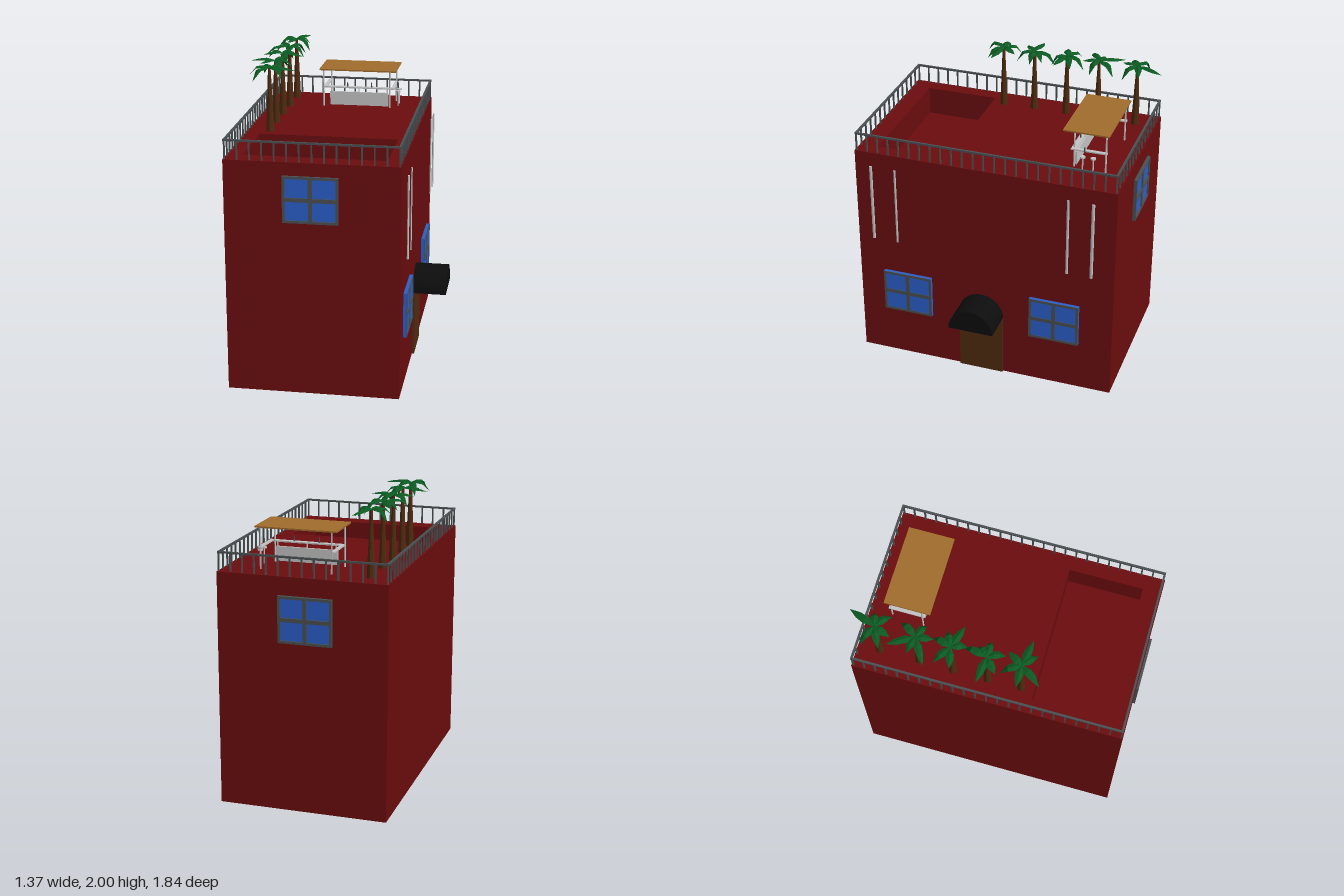
import * as THREE from 'three';

const mat = (name, color, side = THREE.FrontSide) => {
  const m = new THREE.MeshStandardMaterial({ color, side, flatShading: true });
  m.name = name;
  return m;
};

export function createModel() {
  const red = mat('wall red', 0x6b0c0e);
  const grey = mat('frame grey', 0x4a5052);
  const blue = mat('glass blue', 0x2b5fcb);
  const brown = mat('wood brown', 0x4f2b10);
  const black = mat('awning black', 0x0d0d0d);
  const tan = mat('roof tan', 0xa06c2c);
  const pale = mat('bar pale grey', 0xc4c4c4);
  const green = mat('leaf green', 0x0c5a22, THREE.DoubleSide);

  const root = new THREE.Group();
  root.name = 'house';
  const group = (name, parent = root) => {
    const g = new THREE.Group();
    g.name = name;
    parent.add(g);
    return g;
  };
  const add = (name, geo, m, x, y, z, parent = root) => {
    const mesh = new THREE.Mesh(geo, m);
    mesh.name = name;
    mesh.position.set(x, y, z);
    parent.add(mesh);
    return mesh;
  };
  // Box given by its limits on each axis
  const box = (name, m, x0, x1, y0, y1, z0, z1, parent = root) =>
    add(name, new THREE.BoxGeometry(x1 - x0, y1 - y0, z1 - z0), m,
      (x0 + x1) / 2, (y0 + y1) / 2, (z0 + z1) / 2, parent);
  const rect = (S, x0, x1, y0, y1) => new S([
    new THREE.Vector2(x0, y0), new THREE.Vector2(x1, y0),
    new THREE.Vector2(x1, y1), new THREE.Vector2(x0, y1)]);

  // Body: lower block plus a roof slab with the sunken pool cut out
  const roofY = 1.555, poolY = 1.36;
  box('body', red, -0.66, 0.46, 0, poolY, -0.885, 0.905);
  const slab = rect(THREE.Shape, -0.66, 0.46, -0.905, 0.885);
  slab.holes.push(rect(THREE.Path, -0.56, 0.36, -0.78, -0.285));
  const slabGeo = new THREE.ExtrudeGeometry(slab, { depth: roofY - poolY, bevelEnabled: false });
  slabGeo.rotateX(-Math.PI / 2);
  add('roofWithPool', slabGeo, red, 0, poolY, 0);

  // Windows: four panes behind a crossed frame, facing local +z
  const makeWindow = (name, w, h, paneDepth, frameDepth, boxed) => {
    const g = group(name);
    const shape = rect(THREE.Shape, -w / 2, w / 2, -h / 2, h / 2);
    const b = 0.017, c = 0.013;
    for (const sx of [-1, 1]) for (const sy of [-1, 1]) {
      const xs = [sx * c, sx * (w / 2 - b)].sort((p, q) => p - q);
      const ys = [sy * c, sy * (h / 2 - b)].sort((p, q) => p - q);
      shape.holes.push(rect(THREE.Path, xs[0], xs[1], ys[0], ys[1]));
    }
    const frame = new THREE.ExtrudeGeometry(shape, { depth: frameDepth, bevelEnabled: false });
    add('windowFrame', frame, grey, 0, 0, boxed ? paneDepth : 0, g);
    const inset = boxed ? 0 : 0.005;
    box('windowGlass', blue, -w / 2 + inset, w / 2 - inset, -h / 2 + inset, h / 2 - inset, 0, paneDepth, g);
    return g;
  };
  makeWindow('frontWindow', 0.355, 0.305, 0.008, 0.016, false).position.set(-0.107, 1.317, 0.905);
  const backWindow = makeWindow('backWindow', 0.355, 0.305, 0.012, 0.022, false);
  backWindow.position.set(-0.127, 1.283, -0.885);
  backWindow.rotation.y = Math.PI;
  for (const z of [0.557, -0.485]) {
    const w = makeWindow('sideWindow', 0.345, 0.305, 0.022, 0.004, true);
    w.position.set(0.46, 0.508, z);
    w.rotation.y = Math.PI / 2;
  }

  // Door with a half-round awning
  box('door', brown, 0.455, 0.475, 0, 0.45, -0.125, 0.185);
  const arch = new THREE.Shape();
  arch.absarc(0, 0, 0.155, 0, Math.PI);
  arch.closePath();
  const archGeo = new THREE.ExtrudeGeometry(arch, { depth: 0.225, bevelEnabled: false, curveSegments: 16 });
  archGeo.rotateY(Math.PI / 2);
  add('awning', archGeo, black, 0.46, 0.447, 0.03);

  // Upright strips hung beside the right wall
  for (const [z, r] of [[0.782, 0.011], [0.613, 0.008], [-0.572, 0.009], [-0.737, 0.011]]) {
    const s = add('wallStrip', new THREE.CylinderGeometry(r, r, 0.55, 8), pale, 0.491, 1.195, z);
    s.scale.x = 0.6;
  }

  // Railing round the roof edge
  const railing = group('railing');
  const X0 = -0.65, X1 = 0.45, Z0 = -0.872, Z1 = 0.893, t = 0.007;
  for (const z of [Z0, Z1]) box('handrail', grey, X0 - t, X1 + t, 1.672, 1.684, z - t, z + t, railing);
  for (const x of [X0, X1]) box('handrail', grey, x - t, x + t, 1.672, 1.684, Z0, Z1, railing);
  const postGeo = new THREE.BoxGeometry(0.01, 0.12, 0.01);
  const post = (x, z) => add('railPost', postGeo, grey, x, 1.615, z, railing);
  for (let i = 0; i <= 14; i++) for (const z of [Z0, Z1]) post(X0 + (X1 - X0) * i / 14, z);
  for (let i = 1; i < 24; i++) for (const x of [X0, X1]) post(x, Z0 + (Z1 - Z0) * i / 24);

  // Palm leaf: folded blade along +x that rises, then droops
  const makeLeaf = (len, droop) => {
    const rows = [[0, 0.004, 0], [0.35, 0.026, 0.012], [0.65, 0.022, 0.004], [1, 0, -droop]];
    const pos = [], idx = [];
    for (const [u, w, y] of rows) {
      const x = u * len, edge = y - w * 0.5;
      pos.push(x, edge, -w, x, y, 0, x, edge, w);
    }
    for (let r = 0; r < rows.length - 1; r++) for (let k = 0; k < 2; k++) {
      const a = r * 3 + k, b = a + 3;
      idx.push(a, a + 1, b, a + 1, b + 1, b);
    }
    const g = new THREE.BufferGeometry();
    g.setAttribute('position', new THREE.Float32BufferAttribute(pos, 3));
    g.setIndex(idx);
    g.computeVertexNormals();
    return g;
  };

  // Row of palms: crown position, then the leaf tips as offsets in x and z
  const palms = [
    [-0.505, -0.74, [[0.07, -0.18], [-0.12, -0.06], [-0.12, 0.06], [-0.04, 0.11], [0.11, 0.08], [0.1, -0.03]]],
    [-0.505, -0.475, [[-0.09, -0.165], [0.09, -0.12], [-0.15, 0.09], [0.02, 0.11], [0.11, 0.04], [-0.1, -0.03]]],
    [-0.51, -0.25, [[0.16, 0.05], [0.05, -0.13], [-0.11, -0.08], [-0.13, 0.03], [0.05, 0.1], [0.11, -0.05]]],
    [-0.51, -0.02, [[-0.17, -0.02], [0.04, -0.16], [0.12, 0], [-0.09, 0.08], [0.06, 0.11], [0.07, -0.07]]],
    [-0.505, 0.2, [[0.18, 0.03], [-0.085, 0.135], [0.1, 0.08], [0.07, -0.1], [-0.06, -0.12], [-0.13, 0]]]];
  for (const [x, z, tips] of palms) {
    const palm = group('palm');
    palm.position.set(x, roofY, z);
    add('palmTrunk', new THREE.CylinderGeometry(0.009, 0.027, 0.425, 8), brown, 0, 0.2125, 0, palm);
    tips.forEach(([dx, dz], i) => {
      const leaf = add('palmLeaf', makeLeaf(Math.hypot(dx, dz), [0.012, 0.07, 0.05][i % 3]),
        green, 0, 0.43, 0, palm);
      leaf.rotation.y = Math.atan2(-dz, dx);
    });
  }

  // Roof bar: flat canopy on thin posts
  const bar = group('bar');
  box('canopy', tan, -0.29, 0.25, 1.824, 1.834, -0.76, -0.455, bar);
  for (const [x, z] of [[-0.27, -0.52], [0.2, -0.52], [-0.25, -0.735], [0.22, -0.735]])
    add('canopyPost', new THREE.CylinderGeometry(0.006, 0.006, 0.27, 6), pale, x, 1.69, z, bar);

  // Counter panel, worktop and raised ledge
  box('counterPanel', pale, -0.225, 0.19, 1.565, 1.66, -0.535, -0.52, bar);
  box('counterLedge', pale, -0.27, 0.235, 1.69, 1.699, -0.54, -0.505, bar);
  for (const x of [-0.27, 0.21])
    box('sideLedge', pale, x, x + 0.025, 1.69, 1.699, -0.745, -0.54, bar);
  for (const x of [-0.215, -0.02, 0.18])
    box('ledgeSupport', pale, x - 0.004, x + 0.004, 1.655, 1.692, -0.532, -0.524, bar);

  // Small taps on the ledge and a pair of side stools
  for (const [x, z] of [[-0.1, -0.522], [0.07, -0.522], [0.245, -0.6]])
    add('tap', new THREE.CylinderGeometry(0.003, 0.006, 0.035, 6), grey, x, 1.714, z, bar);
  for (const z of [-0.59, -0.66]) {
    add('stoolLeg', new THREE.CylinderGeometry(0.005, 0.005, 0.1, 6), pale, 0.25, 1.605, z, bar);
    add('stoolSeat', new THREE.CylinderGeometry(0.018, 0.018, 0.01, 10), pale, 0.25, 1.66, z, bar);
  }
  return root;
}
